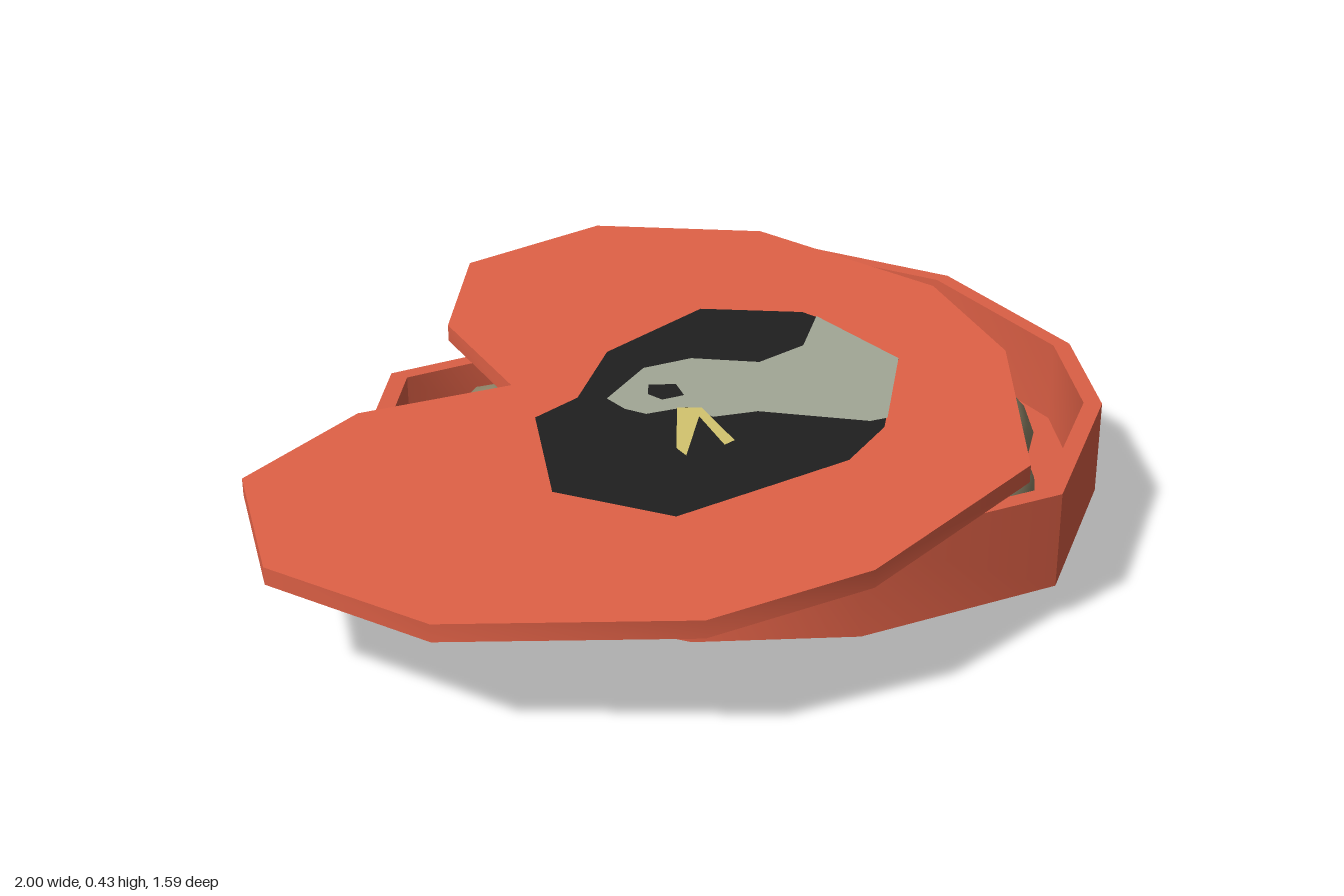
import * as THREE from 'three';
import { toCreasedNormals } from 'three/addons/utils/BufferGeometryUtils.js';

const paint = (color, side = THREE.FrontSide) => new THREE.MeshStandardMaterial({ color, side });
const red = paint(0xdb5f45);
const CREASE = 0.61;

// Outlines are [x, z] points seen from above.
const toVectors = (pts) => pts.map(([x, z]) => new THREE.Vector2(x, -z));

// Move every edge of a closed outline inwards by d, with mitred corners.
function inset(pts, d) {
  const n = pts.length;
  const area = pts.reduce((s, [x, z], i) => {
    const [u, v] = pts[(i + 1) % n];
    return s + x * v - u * z;
  }, 0);
  const sign = Math.sign(area);
  const normal = (a, b) => {
    const l = Math.hypot(b[0] - a[0], b[1] - a[1]);
    return [(-sign * (b[1] - a[1])) / l, (sign * (b[0] - a[0])) / l];
  };
  return pts.map((p, i) => {
    const a = normal(pts[(i + n - 1) % n], p);
    const b = normal(p, pts[(i + 1) % n]);
    const k = d / (1 + a[0] * b[0] + a[1] * b[1]);
    return [p[0] + (a[0] + b[0]) * k, p[1] + (a[1] + b[1]) * k];
  });
}

// Upright slab from an outline, with an optional hole.
function slab(pts, y, height, hole) {
  const shape = new THREE.Shape(toVectors(pts));
  if (hole) shape.holes.push(new THREE.Path(toVectors(hole)));
  const geo = new THREE.ExtrudeGeometry(shape, { depth: height, bevelEnabled: false });
  return geo.rotateX(-Math.PI / 2).translate(0, y, 0);
}

// Lean a flat geometry onto the sloping plane of the lid.
function tilt(geo) {
  const p = geo.attributes.position;
  for (let i = 0; i < p.count; i++) {
    p.setY(i, p.getY(i) + 0.359 + 0.107 * p.getX(i) - 0.014 * p.getZ(i));
  }
  geo.computeVertexNormals();
  return geo;
}

export function createModel() {
  const model = new THREE.Group();
  const add = (name, geo, material, parent = model) => {
    const mesh = new THREE.Mesh(geo, material);
    mesh.name = name;
    parent.add(mesh);
    return mesh;
  };

  // Heart-shaped tray: mirrored half outline from the tip round to the notch
  const cx = 0.195;
  const half = [[0.415, 0.62], [0.645, 0.39], [0.805, -0.06], [0.735, -0.43], [0.475, -0.635], [0.195, -0.54]];
  const heart = [
    [cx, 0.79],
    ...half.map(([x, z]) => [cx + x, z]),
    [cx, -0.29],
    ...half.map(([x, z]) => [cx - x, z]).reverse(),
  ];
  const inner = inset(heart, 0.038);
  add('trayWall', toCreasedNormals(slab(heart, 0.075, 0.205, inner), CREASE), red);
  add('trayFloor', slab(inset(heart, 0.01), 0.0755, 0.025), red);

  // Tilted heart-shaped lid, turned and slid to one side
  const lidOutline = [
    [0.12, 0.76], [0.47, 0.46], [0.625, 0.16], [0.625, -0.34], [0.43, -0.685], [0.115, -0.795], [-0.13, -0.61],
    [-0.24, -0.3],
    [-0.51, -0.48], [-0.82, -0.475], [-1, -0.19], [-0.94, 0.2], [-0.64, 0.59], [-0.34, 0.735],
  ];
  const lid = new THREE.Group();
  lid.name = 'lid';
  model.add(lid);
  add('lidPanel', toCreasedNormals(tilt(slab(lidOutline, -0.037, 0.037)), CREASE), red, lid);

  // Flat bird picture on the lid, layered from the bottom up
  const picture = [
    ['pictureBackground', 0x1e1e1e, [[-0.495, 0.07], [-0.31, -0.16], [-0.2, -0.145], [-0.02, -0.23], [0.245, -0.195],
      [0.36, 0], [0.36, 0.05], [0.31, 0.3], [0.07, 0.445], [-0.07, 0.465], [-0.42, 0.325]]],
    ['bird', 0x9ea392, [[-0.18, -0.03], [-0.17, -0.09], [-0.03, -0.115], [0.06, -0.06], [0.13, 0.07], [0.24, 0.1],
      [0.36, 0.04], [0.31, 0.3], [0.1, 0.43], [0.07, 0.41], [-0.03, 0.2], [-0.1, 0.14], [-0.1, 0.07], [-0.17, 0.02]]],
    ['birdEye', 0x1e1e1e, [[-0.11, -0.03], [-0.08, -0.055], [-0.045, -0.01], [-0.07, 0.035], [-0.11, 0.01]]],
    ['birdBeak', 0xcfc06c, [[-0.25, 0.2], [-0.24, 0.165], [-0.12, 0.06], [-0.09, 0.1], [-0.15, 0.24],
      [-0.175, 0.235], [-0.12, 0.12]]],
  ];
  picture.forEach(([name, color, pts], i) => {
    const geo = new THREE.ShapeGeometry(new THREE.Shape(toVectors(pts))).rotateX(-Math.PI / 2);
    add(name, tilt(geo.translate(0, 0.002 * (i + 1), 0)), paint(color, THREE.DoubleSide), lid);
  });

  // Egg-shaped sweets: x, z, bottom, top
  const egg = new THREE.IcosahedronGeometry(1, 1);
  const p = egg.attributes.position;
  for (let i = 0; i < p.count; i++) {
    const k = 1 - 0.18 * Math.max(0, p.getY(i));
    p.setX(i, p.getX(i) * k);
    p.setZ(i, p.getZ(i) * k);
  }
  const sweetMaterial = paint(0x8f8468);
  const sweets = new THREE.Group();
  sweets.name = 'sweets';
  model.add(sweets);
  [
    [0.68, 0.21, 0, 0.27], [0.81, -0.01, 0.06, 0.28], [0.77, -0.22, 0.065, 0.295], [0.62, -0.38, 0.07, 0.3],
    [0.57, -0.07, 0.035, 0.3], [0.46, -0.22, 0.08, 0.315], [0.4, 0.15, 0.045, 0.3], [0.48, 0.42, 0.085, 0.31],
    [0.27, 0.57, 0.085, 0.31], [0.23, -0.07, 0.09, 0.335], [0.03, 0.42, 0.085, 0.305], [-0.19, -0.41, 0.065, 0.29],
    [0, 0.14, 0.085, 0.29], [-0.25, 0.1, 0.085, 0.27],
  ].forEach(([x, z, low, high], i) => {
    const sweet = add('sweet', egg, sweetMaterial, sweets);
    sweet.position.set(x, (low + high) / 2, z);
    sweet.scale.set(0.1, (high - low) / 2, 0.1);
    sweet.rotation.y = i * 1.3;
  });

  return model;
}
